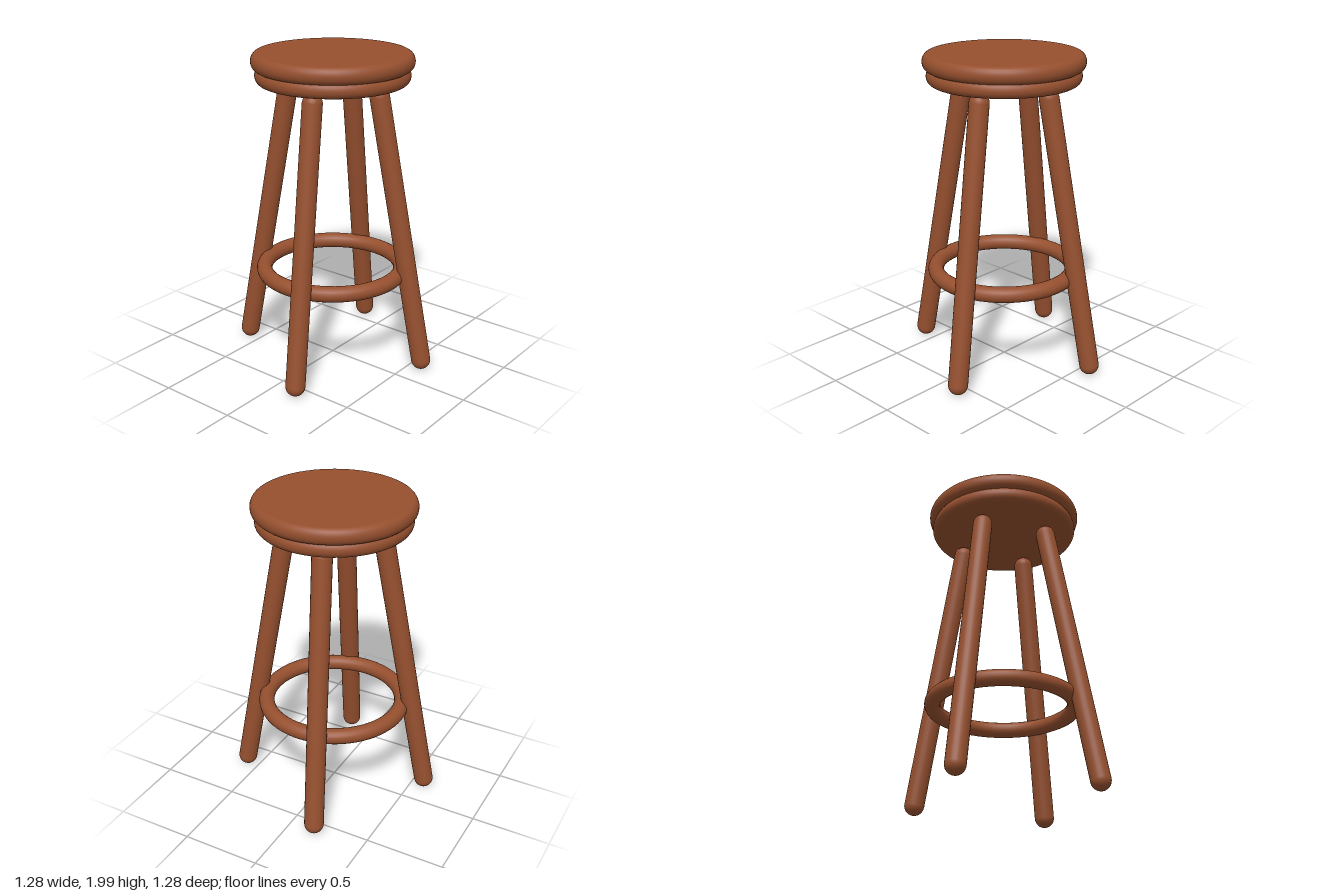
import * as THREE from 'three';

export function createModel() {
  const stool = new THREE.Group();
  stool.name = 'stool';
  const wood = new THREE.MeshStandardMaterial({ color: 0x96502f });
  wood.name = 'brown wood';

  function add(geometry, name) {
    const mesh = new THREE.Mesh(geometry, wood);
    mesh.name = name;
    stool.add(mesh);
    return mesh;
  }

  // Disc with a rounded rim, turned from a half-round edge profile
  function roundedDisc(radius, bottom, top) {
    const half = (top - bottom) / 2;
    const bulge = 0.04;
    const points = [new THREE.Vector2(0, bottom)];
    for (let i = 0; i <= 12; i++) {
      const a = -Math.PI / 2 + (Math.PI * i) / 12;
      points.push(new THREE.Vector2(
        radius - bulge + bulge * Math.cos(a),
        bottom + half + half * Math.sin(a)));
    }
    points.push(new THREE.Vector2(0, top));
    return new THREE.LatheGeometry(points, 64);
  }

  // Seat: a wide cushion disc over a slightly narrower base disc
  add(roundedDisc(0.49, 1.898, 2.0), 'seatTop');
  add(roundedDisc(0.468, 1.815, 1.91), 'seatBase');

  // Four splayed legs with rounded ends, a quarter turn apart
  const up = new THREE.Vector3(0, 1, 0);
  const foot = new THREE.Vector3(0.168, 0.07, 0.58);
  const head = new THREE.Vector3(0.078, 1.752, 0.29);
  const legRadius = 0.061;
  const names = ['frontLeg', 'leftLeg', 'backLeg', 'rightLeg'];
  names.forEach((name, i) => {
    const a = foot.clone().applyAxisAngle(up, (i * Math.PI) / 2);
    const b = head.clone().applyAxisAngle(up, (i * Math.PI) / 2);
    const axis = b.clone().sub(a);
    const leg = add(new THREE.CapsuleGeometry(legRadius, axis.length(), 8, 24), name);
    leg.position.copy(a).add(b).multiplyScalar(0.5);
    leg.quaternion.setFromUnitVectors(up, axis.normalize());
  });

  // Footrest ring set against the inside of the legs
  const ring = add(new THREE.TorusGeometry(0.435, 0.049, 20, 72), 'footrestRing');
  ring.rotation.x = Math.PI / 2;
  ring.position.y = 0.623;

  return stool;
}
